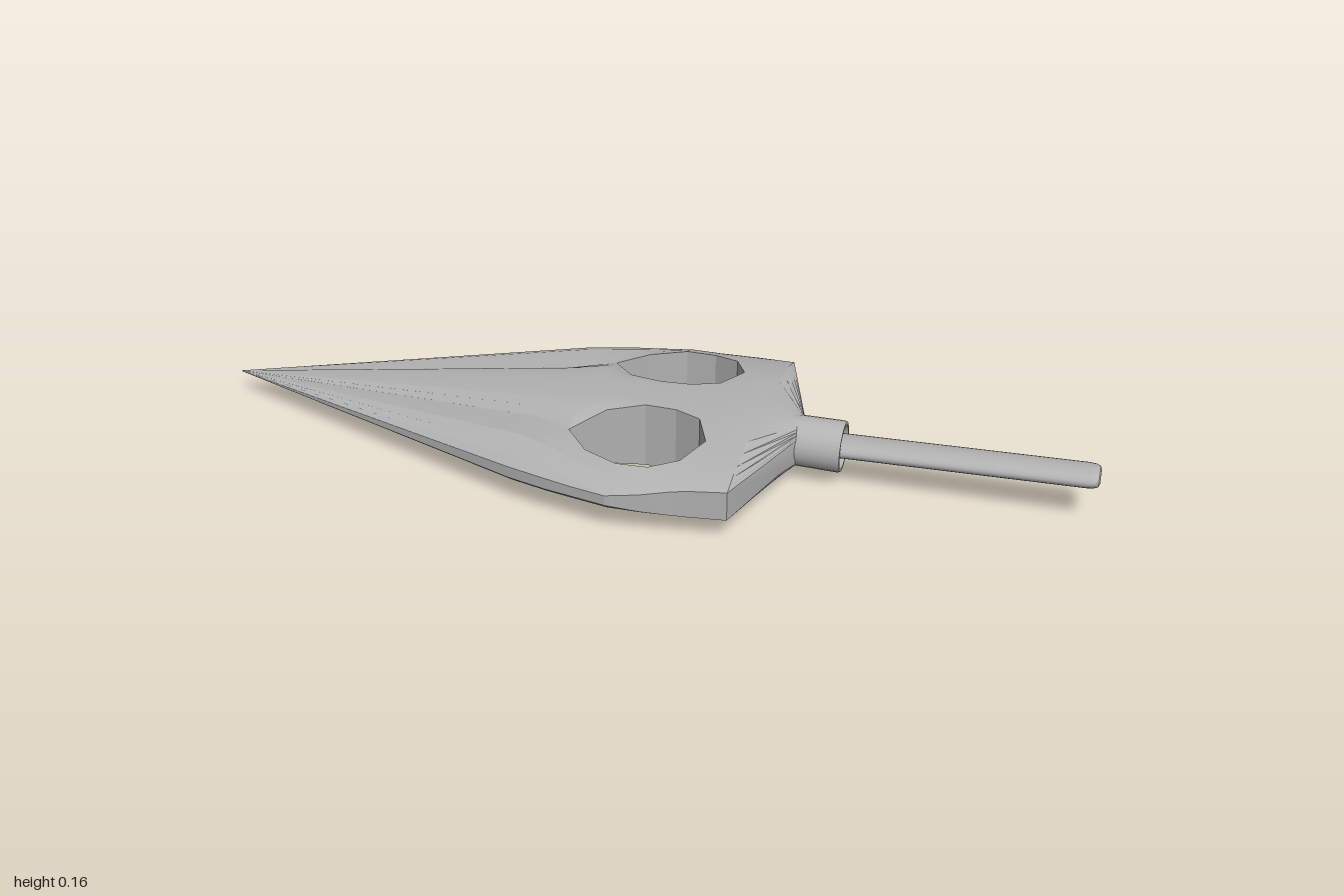
import * as THREE from 'three';
import { toCreasedNormals } from 'three/addons/utils/BufferGeometryUtils.js';

// Blade stations from point to rear: x, half width, ellipse half width,
// middle height, half thickness, window inner z, window outer z, flute depth
const stations = [
  [-1.0, 0.001, 0.00102, 0.06, 0.001, 0.00042, 0.00042, 0.26],
  [-0.2, 0.3, 0.305, 0.078, 0.072, 0.126, 0.126, 0.26],
  [-0.11, 0.325, 0.33, 0.079, 0.074, 0.17, 0.17, 0.18],
  [-0.05, 0.338, 0.342, 0.079, 0.075, 0.09, 0.24, 0.08],
  [0.03, 0.355, 0.359, 0.08, 0.076, 0.06, 0.28, 0],
  [0.1, 0.345, 0.357, 0.08, 0.077, 0.064, 0.277, 0],
  [0.16, 0.332, 0.356, 0.082, 0.076, 0.09, 0.245, 0],
  [0.195, 0.325, 0.356, 0.083, 0.075, 0.17, 0.17, 0],
  [0.28, 0.315, 0.355, 0.086, 0.071, 0.15, 0.15, 0],
];
const firstWindow = 2, lastWindow = 7;
// Sample positions across each strip, and how far each sinks into the flute
const inner = { steps: [0, 0.3, 0.6, 0.8, 1], sink: [0, 0, 0, 0.5, 1] };
const outer = { steps: [0, 0.28, 0.54, 0.75, 0.9, 1], sink: [1, 0.5, 0, 0, 0, 0] };

// Points of one strip at one station, on the upper (up = 1) or lower (-1) side
function section([x, w, we, mid, h, zin, zout, flute], strip, up) {
  const from = strip === inner ? 0 : zout;
  const to = strip === inner ? zin : w;
  return strip.steps.map((t, k) => {
    const z = from + (to - from) * t;
    const rise = Math.sqrt(Math.max(0, 1 - (z / we) ** 2));
    return [x, mid + up * h * (rise - flute * strip.sink[k]), z];
  });
}

// The rear shoulder narrows from the last station to a circle at the collar
function shoulder(strip, up) {
  const last = stations[stations.length - 1];
  return section(last, strip, up).map(([, y, z]) => {
    const a = Math.atan2((y - last[3]) / last[4], z / last[2]);
    return [0.365, 0.089 + 0.052 * Math.sin(a), 0.052 * Math.cos(a)];
  });
}

function bladeGeometry() {
  const position = [];
  // Each quad is also mirrored across z, with its winding reversed
  const quad = (a, b, c, d) => {
    const m = [a, d, c, b].map(([x, y, z]) => [x, y, -z]);
    for (const q of [[a, b, c, d], m]) {
      for (const i of [0, 1, 2, 0, 2, 3]) position.push(...q[i]);
    }
  };
  for (const strip of [inner, outer]) {
    const [top, bottom] = [1, -1].map((up) =>
      [...stations.map((s) => section(s, strip, up)), shoulder(strip, up)]);
    const n = strip.steps.length - 1;
    for (let i = 0; i < stations.length; i++) {
      const T = top[i], T2 = top[i + 1], B = bottom[i], B2 = bottom[i + 1];
      for (let k = 0; k < n; k++) {
        quad(T[k], T[k + 1], T2[k + 1], T2[k]);
        quad(B[k], B2[k], B2[k + 1], B[k + 1]);
      }
      const window = i >= firstWindow && i < lastWindow;
      // Outer rim of the blade, or inner wall of the window
      if (strip === outer || window) quad(T[n], B[n], B2[n], T2[n]);
      // Outer wall of the window
      if (strip === outer && window) quad(T[0], T2[0], B2[0], B[0]);
    }
  }
  const geometry = new THREE.BufferGeometry();
  geometry.setAttribute('position', new THREE.Float32BufferAttribute(position, 3));
  return toCreasedNormals(geometry, 0.28);
}

// Turned part whose axis is laid along +x
function turned(name, points, material, x, y, flatten, tilt) {
  const profile = points.map(([r, h]) => new THREE.Vector2(r, h));
  const geometry = toCreasedNormals(new THREE.LatheGeometry(profile, 24), 0.6);
  const mesh = new THREE.Mesh(geometry, material);
  mesh.name = name;
  mesh.scale.x = flatten;
  mesh.rotation.z = -Math.PI / 2 + tilt;
  mesh.position.set(x, y, 0);
  return mesh;
}

export function createModel() {
  const steel = new THREE.MeshStandardMaterial({ color: 0xb2b2b2 });
  steel.name = 'steel grey';
  const group = new THREE.Group();
  group.name = 'spearhead';

  const blade = new THREE.Mesh(bladeGeometry(), steel);
  blade.name = 'blade';
  group.add(blade);

  // Collar with a shallow recess around the shaft
  group.add(turned('collar', [
    [0, 0], [0.055, 0], [0.057, 0.175], [0.055, 0.18], [0.049, 0.18], [0.047, 0.165], [0, 0.165],
  ], steel, 0.28, 0.09, 1, -0.01));

  // Flattened shaft with a softly rounded end
  group.add(turned('shaft', [
    [0, 0], [0.042, 0], [0.042, 0.575], [0.04, 0.588], [0.034, 0.597], [0.024, 0.6], [0, 0.6],
  ], steel, 0.4, 0.089, 0.51, 0.027));

  return group;
}
